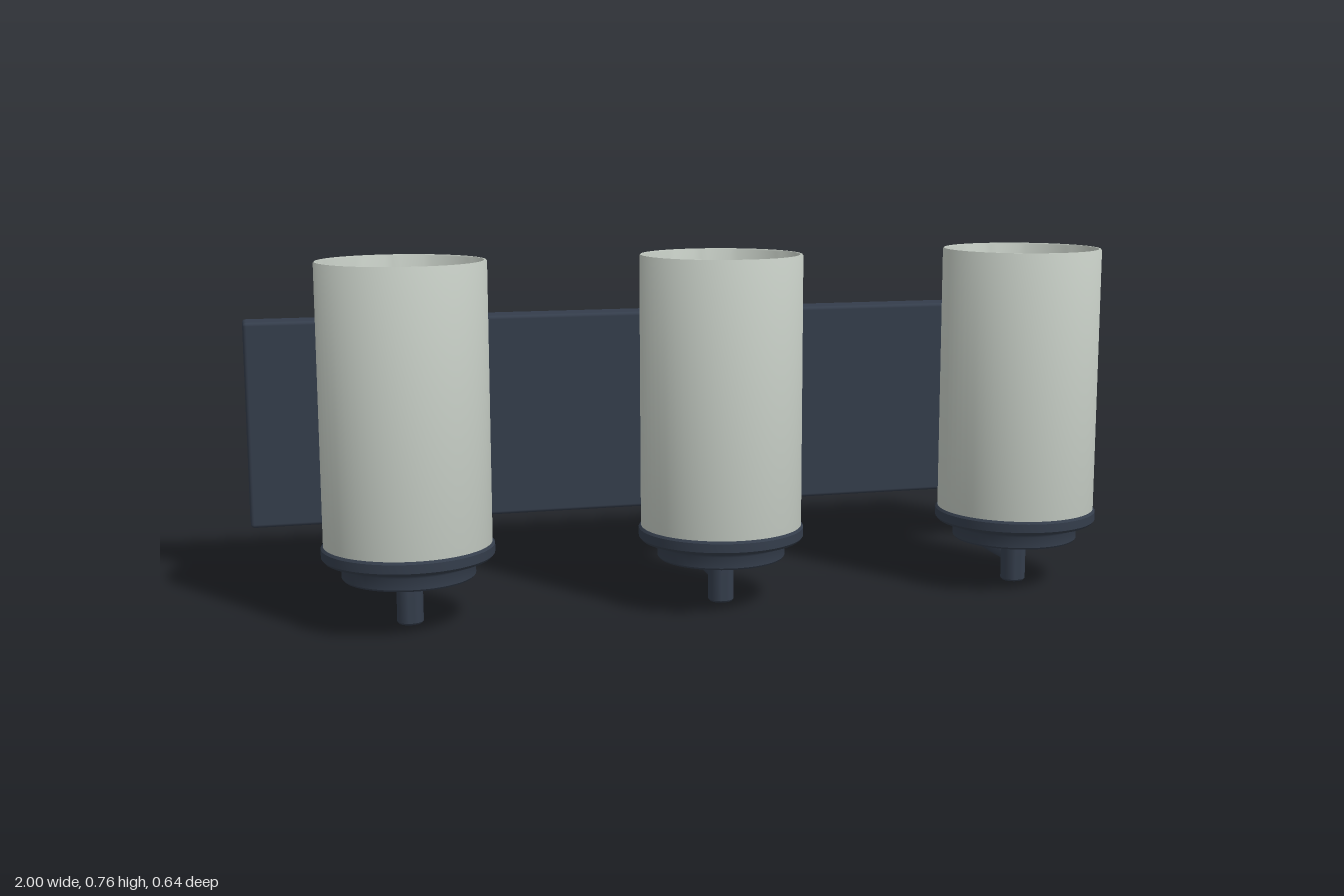
import * as THREE from 'three';
import { RoundedBoxGeometry } from 'three/addons/geometries/RoundedBoxGeometry.js';
import { toCreasedNormals } from 'three/addons/utils/BufferGeometryUtils.js';

const metal = new THREE.MeshStandardMaterial({ color: 0x343d4b });
metal.name = 'dark metal';
const glass = new THREE.MeshStandardMaterial({ color: 0xbec5bd });
glass.name = 'frosted glass';

function add(parent, name, geometry, material, x = 0, y = 0, z = 0) {
  const mesh = new THREE.Mesh(geometry, material);
  mesh.name = name;
  mesh.position.set(x, y, z);
  parent.add(mesh);
  return mesh;
}

// Turned part from [radius, height] pairs, bottom to top on the outside
function turned(points, segments = 48) {
  const profile = points.map(([r, y]) => new THREE.Vector2(r, y));
  return toCreasedNormals(new THREE.LatheGeometry(profile, segments), 0.6);
}

// One lamp, centred on its own vertical axis
function createLamp() {
  const lamp = new THREE.Group();

  add(lamp, 'stem', turned([
    [0, 0], [0.025, 0], [0.028, 0.004], [0.028, 0.105], [0, 0.105],
  ], 24), metal);

  // Stepped cup with a raised rim that holds the shade
  add(lamp, 'cup', turned([
    [0, 0.096], [0.04, 0.096], [0.09, 0.1], [0.137, 0.102], [0.14, 0.106],
    [0.14, 0.13], [0.143, 0.136], [0.15, 0.14], [0.176, 0.144], [0.181, 0.15],
    [0.181, 0.169], [0.177, 0.174], [0.168, 0.174], [0.168, 0.165], [0, 0.165],
  ]), metal);

  // Open-topped glass tube with a real wall thickness
  add(lamp, 'shade', turned([
    [0.168, 0.168], [0.176, 0.168], [0.176, 0.762], [0.174, 0.765],
    [0.17, 0.765], [0.168, 0.762], [0.168, 0.168],
  ], 64), glass);

  add(lamp, 'socket', turned([
    [0.05, 0.16], [0.05, 0.25], [0.045, 0.255], [0, 0.255],
  ], 32), metal);

  // Pear-shaped bulb: narrow neck swelling to a round crown
  const bulb = [[0.04, 0.25], [0.043, 0.28], [0.055, 0.32], [0.072, 0.355]];
  for (let i = 0; i <= 12; i++) {
    const a = -0.4 + (i / 12) * (Math.PI / 2 + 0.4);
    bulb.push([Math.max(0, 0.088 * Math.cos(a)), 0.41 + 0.088 * Math.sin(a)]);
  }
  add(lamp, 'bulb', turned(bulb, 40), glass);

  // Arm sweeping back and up to the ball joint
  const path = new THREE.CurvePath();
  const p = (y, z) => new THREE.Vector3(0, y, z - 0.14);
  path.add(new THREE.LineCurve3(p(0.053, 0.14), p(0.053, 0.01)));
  path.add(new THREE.CubicBezierCurve3(p(0.053, 0.01), p(0.06, -0.13), p(0.12, -0.208), p(0.27, -0.208)));
  path.add(new THREE.LineCurve3(p(0.27, -0.208), p(0.355, -0.208)));
  add(lamp, 'arm', new THREE.TubeGeometry(path, 48, 0.016, 16), metal);
  add(lamp, 'ballJoint', new THREE.SphereGeometry(0.033, 28, 20), metal, 0, 0.355, -0.345);
  return lamp;
}

export function createModel() {
  const model = new THREE.Group();
  model.name = 'wallLight';

  add(model, 'backPlate', new RoundedBoxGeometry(2, 0.467, 0.086, 3, 0.008), metal, 0, 0.371, -0.277);

  [-0.686, -0.004, 0.698].forEach((x, i) => {
    const lamp = createLamp();
    lamp.name = ['rightLamp', 'middleLamp', 'leftLamp'][i];
    lamp.position.set(x, 0, 0.142);
    model.add(lamp);
  });
  return model;
}
